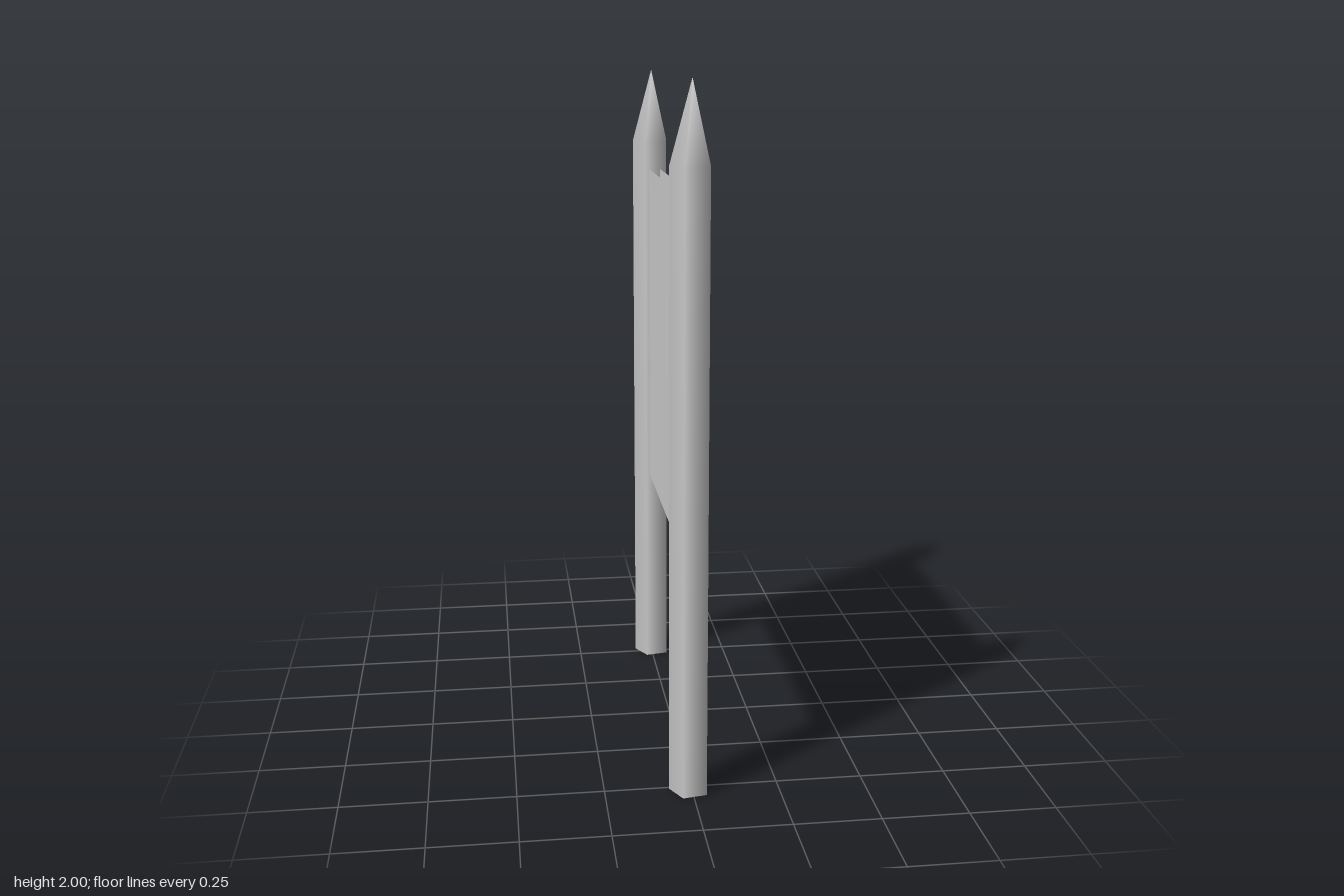
import * as THREE from 'three';

export function createModel() {
  const group = new THREE.Group();
  const material = new THREE.MeshStandardMaterial({ color: 0xcccccc, side: THREE.DoubleSide });

  // Five-sided pointed stakes, smooth shaded, open underneath
  const profile = [[0.06, 0], [0.06, 1.775], [0, 2]].map(([r, y]) => new THREE.Vector2(r, y));
  const addPost = (name, x, z, degrees) => {
    const turn = THREE.MathUtils.degToRad(degrees);
    const post = new THREE.Mesh(new THREE.LatheGeometry(profile, 5, turn), material);
    post.name = name;
    post.position.set(x, 0, z);
    group.add(post);
  };
  addPost('frontPost', -0.005, 0.516, 46);
  addPost('backPost', 0.005, -0.515, 47);

  // Board: two flat faces a little apart, ends sunk into the posts
  const bottom = 0.655, top = 1.685;
  const addFace = (name, x, side) => {
    const face = new THREE.Mesh(new THREE.PlaneGeometry(1.02, top - bottom), material);
    face.name = name;
    face.rotation.y = side * Math.PI / 2;
    face.position.set(x, (top + bottom) / 2, 0);
    group.add(face);
  };
  addFace('leftBoardFace', 0.028, 1);
  addFace('rightBoardFace', -0.008, -1);

  return group;
}
